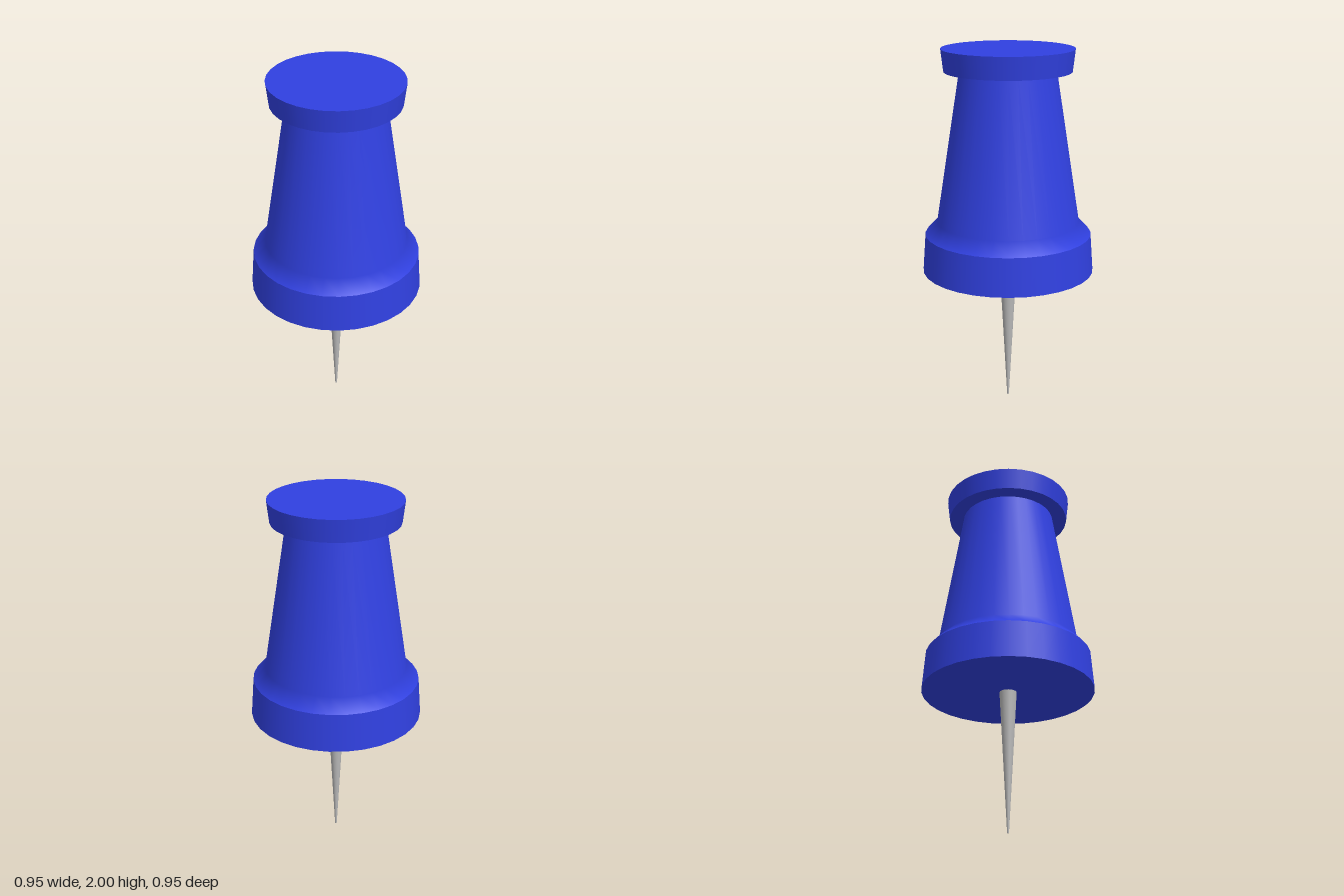
import * as THREE from 'three';

const SIDES = 32;

export function createModel() {
  const plastic = new THREE.MeshStandardMaterial({ color: 0x3040e0 });
  plastic.name = 'blue plastic';
  const steel = new THREE.MeshStandardMaterial({ color: 0xb8b8b8 });
  steel.name = 'grey steel';

  const pin = new THREE.Group();
  pin.name = 'pushPin';

  const add = (name, geometry, material, y = 0) => {
    const mesh = new THREE.Mesh(geometry, material);
    mesh.name = name;
    mesh.position.y = y;
    pin.add(mesh);
  };
  // Tapered disc or rod between two heights
  const taper = (name, rTop, rBottom, y0, y1, sides, material) =>
    add(name, new THREE.CylinderGeometry(rTop, rBottom, y1 - y0, sides), material, (y0 + y1) / 2);

  // Wide collar above the needle
  taper('collar', 0.457, 0.473, 0.78, 0.99, SIDES, plastic);

  // Grip: sloped shoulder running smoothly into the tapering waist
  const profile = [[0.457, 0.99], [0.39, 1.06], [0.26, 1.88]].map(([r, y]) => new THREE.Vector2(r, y));
  add('grip', new THREE.LatheGeometry(profile, SIDES), plastic);

  // Flared cap
  taper('cap', 0.357, 0.343, 1.88, 2, SIDES, plastic);

  // Needle with a tiny blunt tip
  taper('needle', 0.047, 0.005, 0, 0.78, SIDES, steel);

  return pin;
}
